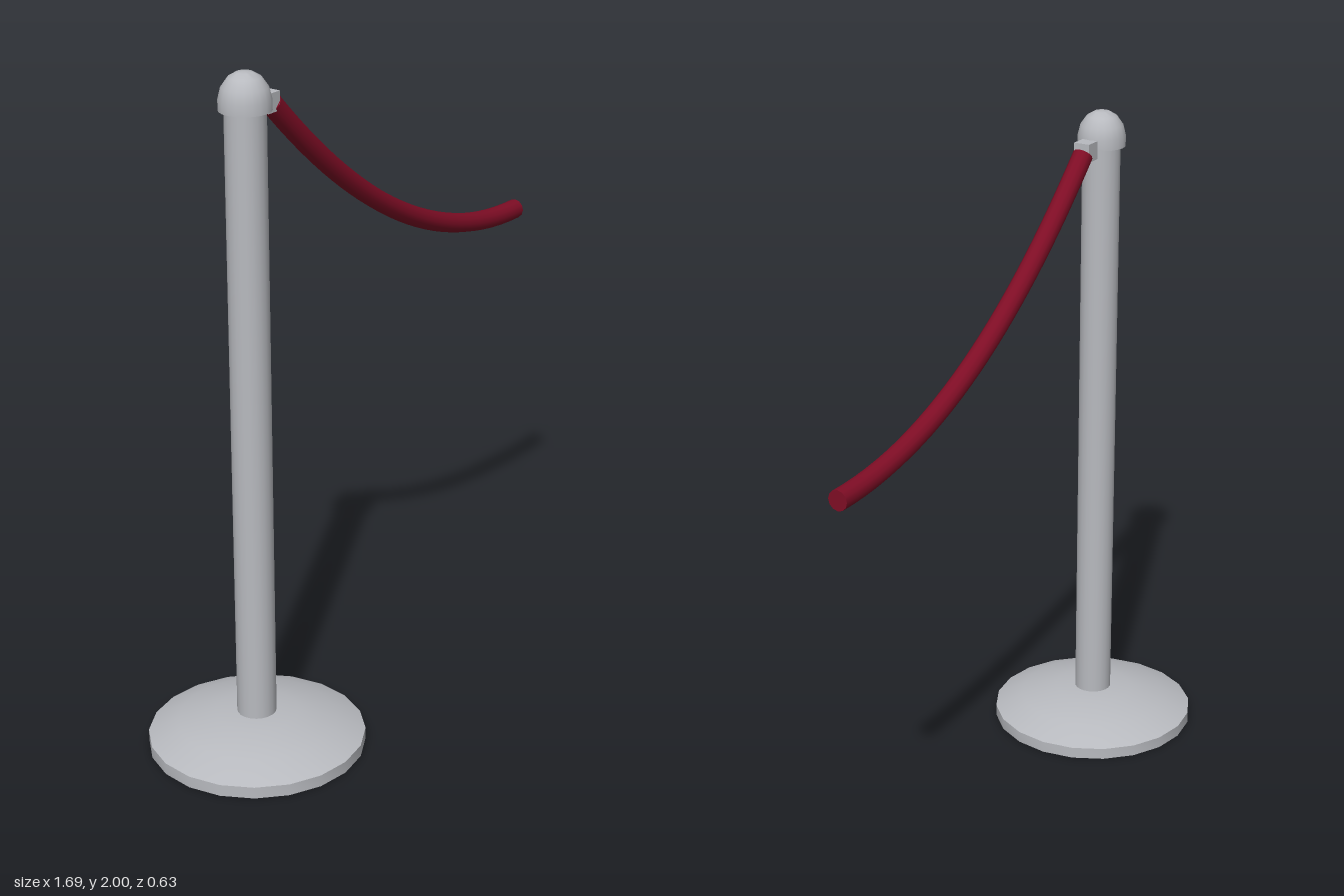
import * as THREE from 'three';
import { toCreasedNormals } from 'three/addons/utils/BufferGeometryUtils.js';

const POST_X = -0.53;

export function createModel() {
  const group = new THREE.Group();
  const metal = new THREE.MeshStandardMaterial({ color: 0xb8babf });
  metal.name = 'brushed metal';
  const velvet = new THREE.MeshStandardMaterial({ color: 0x7f0d25 });
  velvet.name = 'red velvet';

  const add = (name, geometry, material, x = 0, y = 0, z = 0) => {
    const mesh = new THREE.Mesh(geometry, material);
    mesh.name = name;
    mesh.position.set(x, y, z);
    group.add(mesh);
    return mesh;
  };
  const turned = (points, sides) => toCreasedNormals(
    new THREE.LatheGeometry(points.map(([r, y]) => new THREE.Vector2(r, y)), sides), 0.6);

  // Weighted foot: short rim, then a shallow dome
  add('base', turned([[0, 0], [0.315, 0], [0.315, 0.035], [0.23, 0.073], [0.12, 0.097], [0.05, 0.102], [0, 0.102]], 20), metal, POST_X);

  // Upright
  add('post', new THREE.CylinderGeometry(0.057, 0.057, 1.82, 20, 1, true), metal, POST_X, 1.0);

  // Domed cap with a straight collar
  add('cap', turned([[0, 1.895], [0.072, 1.895], [0.072, 1.925], [0.064, 1.957], [0.045, 1.984], [0.023, 1.997], [0, 2]], 20), metal, POST_X);

  // Clip joining rope to cap
  add('clipStem', new THREE.BoxGeometry(0.03, 0.03, 0.03), metal, -0.467, 1.905);
  add('clip', new THREE.BoxGeometry(0.05, 0.054, 0.05), metal, -0.437, 1.898);

  // Sagging rope, level at its free end
  const sag = new THREE.QuadraticBezierCurve3(
    new THREE.Vector3(-0.42, 1.89, 0), new THREE.Vector3(0.21, 1.255, 0), new THREE.Vector3(0.84, 1.255, 0));
  add('rope', new THREE.TubeGeometry(sag, 28, 0.03, 12), velvet);

  // Flat rope ends, facing outward along the curve
  for (const [t, sign] of [[0, -1], [1, 1]]) {
    const p = sag.getPoint(t);
    const end = add('ropeEnd', new THREE.CircleGeometry(0.03, 12), velvet, p.x, p.y, p.z);
    end.quaternion.setFromUnitVectors(new THREE.Vector3(0, 0, 1), sag.getTangent(t).multiplyScalar(sign));
  }
  return group;
}
